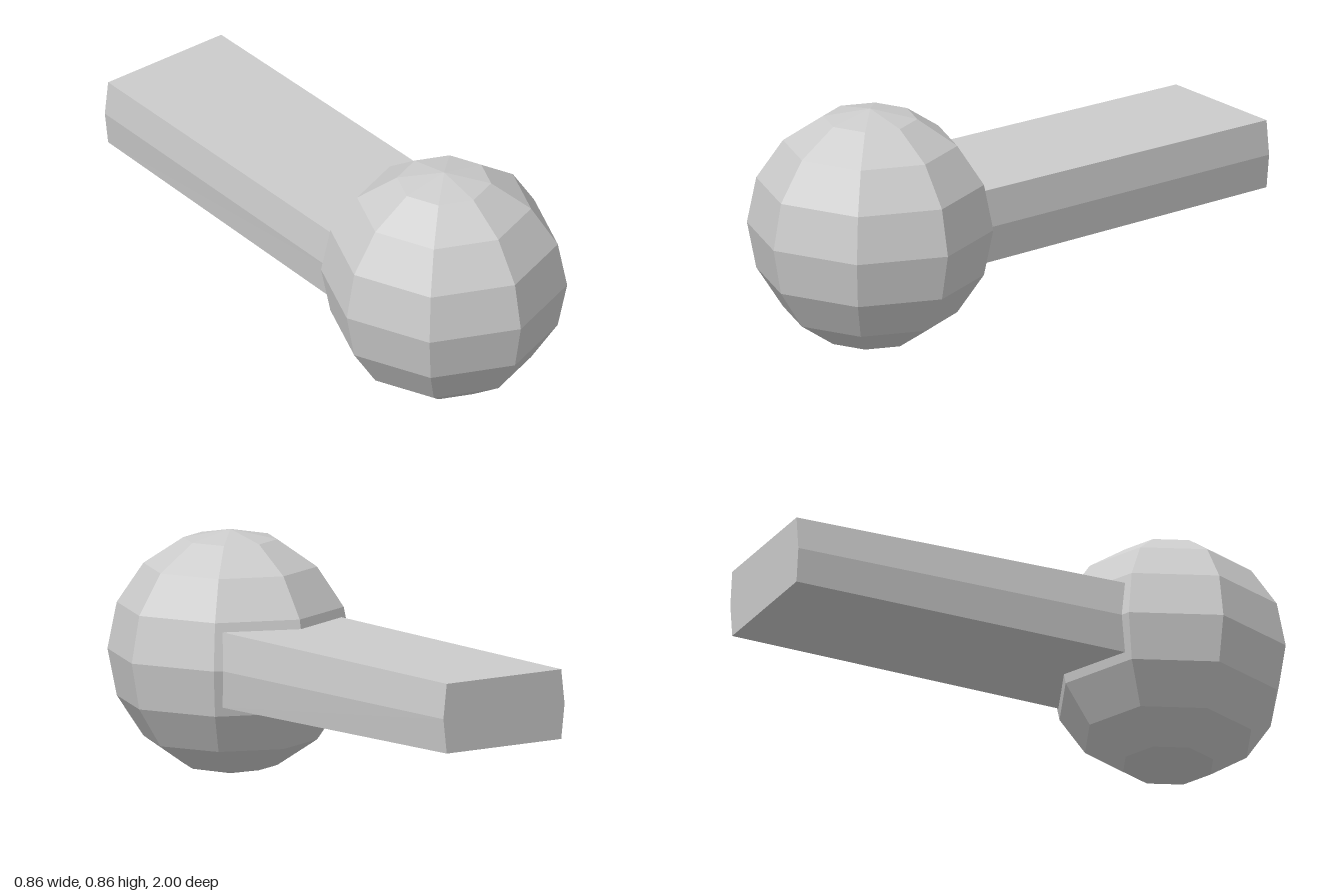
import * as THREE from 'three';

const material = new THREE.MeshStandardMaterial({ color: 0xcccccc, flatShading: true });
const CENTER_Y = 0.431;

// Hexagonal bar along z, widening slightly towards the ball
function taperedBar(backZ, frontZ, back, front) {
  const section = [[1, 0], [0.945, 1], [-0.945, 1], [-1, 0], [-0.945, -1], [0.945, -1]];
  const shape = new THREE.Shape(section.map(([x, y]) => new THREE.Vector2(x, y)));
  const geometry = new THREE.ExtrudeGeometry(shape, { depth: 1, bevelEnabled: false });
  const p = geometry.attributes.position;
  for (let i = 0; i < p.count; i++) {
    const t = p.getZ(i);
    p.setXYZ(i,
      p.getX(i) * THREE.MathUtils.lerp(back.w, front.w, t),
      p.getY(i) * THREE.MathUtils.lerp(back.h, front.h, t),
      THREE.MathUtils.lerp(backZ, frontZ, t));
  }
  geometry.computeVertexNormals();
  return geometry;
}

export function createModel() {
  const model = new THREE.Group();
  model.name = 'ballAndBar';

  // Faceted ball at the front
  const ball = new THREE.Mesh(new THREE.SphereGeometry(0.431, 8, 8), material);
  ball.name = 'ball';
  ball.position.set(0, CENTER_Y, 0.569);
  model.add(ball);

  // Flat bar running back, its front end sunk into the ball
  const bar = new THREE.Mesh(
    taperedBar(-1, 0.3, { w: 0.265, h: 0.123 }, { w: 0.275, h: 0.133 }), material);
  bar.name = 'bar';
  bar.position.y = CENTER_Y;
  model.add(bar);

  return model;
}
